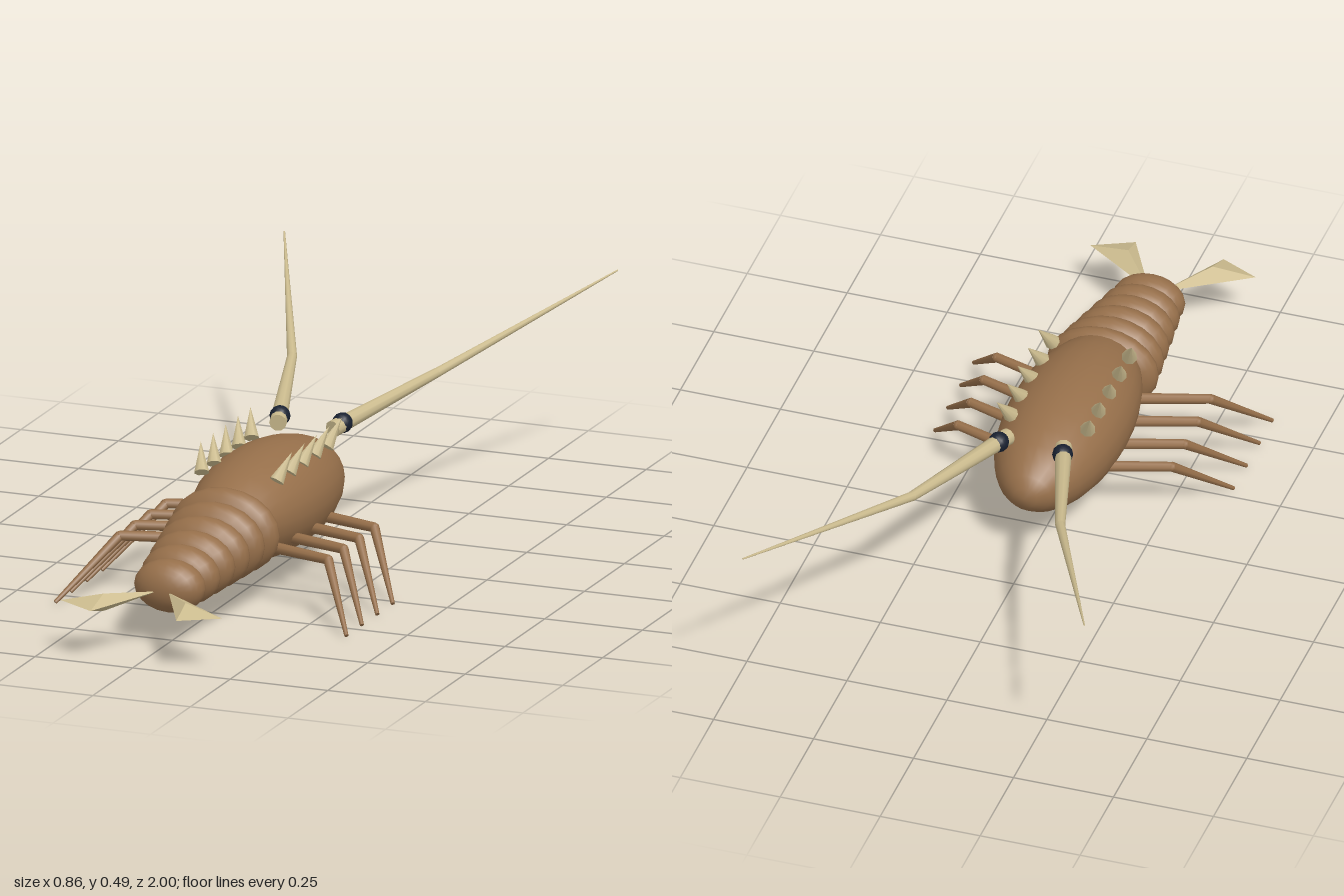
import * as THREE from 'three';
import { ConvexGeometry } from 'three/addons/geometries/ConvexGeometry.js';

const shell = new THREE.MeshStandardMaterial({ color: 0x966f4a });
const cream = new THREE.MeshStandardMaterial({ color: 0xcbbb8e });
const dark = new THREE.MeshStandardMaterial({ color: 0x182030 });

const V = (x, y, z) => new THREE.Vector3(x, y, z);

function add(parent, name, geometry, material) {
  const mesh = new THREE.Mesh(geometry, material);
  mesh.name = name;
  parent.add(mesh);
  return mesh;
}

// Ellipsoid with its poles along z
function ellipsoid(parent, name, center, radii, material, w = 24, h = 16) {
  const geometry = new THREE.SphereGeometry(1, w, h).rotateX(Math.PI / 2);
  const mesh = add(parent, name, geometry, material);
  mesh.position.copy(center);
  mesh.scale.copy(radii);
  return mesh;
}

// Tapered round rod from a to b
function rod(parent, name, a, b, ra, rb, material, sides = 8) {
  const dir = b.clone().sub(a);
  const mesh = add(parent, name, new THREE.CylinderGeometry(rb, ra, dir.length(), sides), material);
  mesh.position.copy(a).lerp(b, 0.5);
  mesh.quaternion.setFromUnitVectors(V(0, 1, 0), dir.normalize());
  return mesh;
}

export function createModel() {
  const model = new THREE.Group();
  model.name = 'spinyLobster';

  // Carapace, head towards -z
  ellipsoid(model, 'carapace', V(0, 0.192, 0.16), V(0.15, 0.131, 0.33), shell);

  // Abdomen rings, shrinking towards the tail
  const abdomen = new THREE.Group();
  abdomen.name = 'abdomen';
  model.add(abdomen);
  for (let i = 0; i < 6; i++) {
    const t = i / 5;
    ellipsoid(abdomen, 'abdomenSegment',
      V(0, 0.18 - 0.04 * t, 0.42 + 0.345 * t),
      V(0.139 - 0.05 * t, 0.107 - 0.042 * t, 0.056), shell, 20, 14);
  }

  for (const s of [1, -1]) {
    const side = new THREE.Group();
    side.name = s > 0 ? 'leftSide' : 'rightSide';
    model.add(side);

    // Tail fan blade: wedge with a ridge above and below
    add(side, 'tailFan', new ConvexGeometry([
      V(s * 0.015, 0.136, 0.81),
      V(s * 0.105, 0.152, 0.925),
      V(s * 0.105, 0.108, 0.92),
      V(s * 0.207, 0.13, 0.945),
      V(s * 0.11, 0.127, 0.995),
    ]), cream);

    // Walking legs
    for (let i = 0; i < 4; i++) {
      const dz = i * 0.097;
      const leg = new THREE.Group();
      leg.name = 'leg';
      side.add(leg);
      const knee = V(s * 0.267, 0.141, 0.135 + dz);
      rod(leg, 'upperLeg', V(s * 0.09, 0.14, 0.08 + dz), knee, 0.014, 0.012, shell);
      ellipsoid(leg, 'knee', knee, V(0.012, 0.012, 0.012), shell, 8, 6);
      rod(leg, 'lowerLeg', knee, V(s * 0.373, 0.004, 0.28 + dz), 0.012, 0.005, shell);
    }

    // Row of forward-leaning spines
    for (let i = 0; i < 5; i++) {
      const z = 0.33 - i * 0.078;
      rod(side, 'spine', V(s * 0.096, 0.29, z), V(s * 0.117, 0.352, z - 0.045), 0.019, 0, cream);
    }

    // Antenna in two tapered lengths, with the eye around its root
    const root = V(s * 0.07, 0.302, -0.085);
    const bend = V(s * 0.185, 0.353, -0.455);
    const tip = V(s * 0.427, 0.485, -1);
    rod(side, 'antennaBase', root, bend, 0.021, 0.012, cream, 10);
    ellipsoid(side, 'antennaJoint', bend, V(0.012, 0.012, 0.012), cream, 10, 8);
    rod(side, 'antennaWhip', bend, tip, 0.012, 0.002, cream, 10);
    ellipsoid(side, 'eye', V(s * 0.08, 0.309, -0.122), V(0.025, 0.025, 0.025), dark, 14, 10);
  }
  return model;
}
